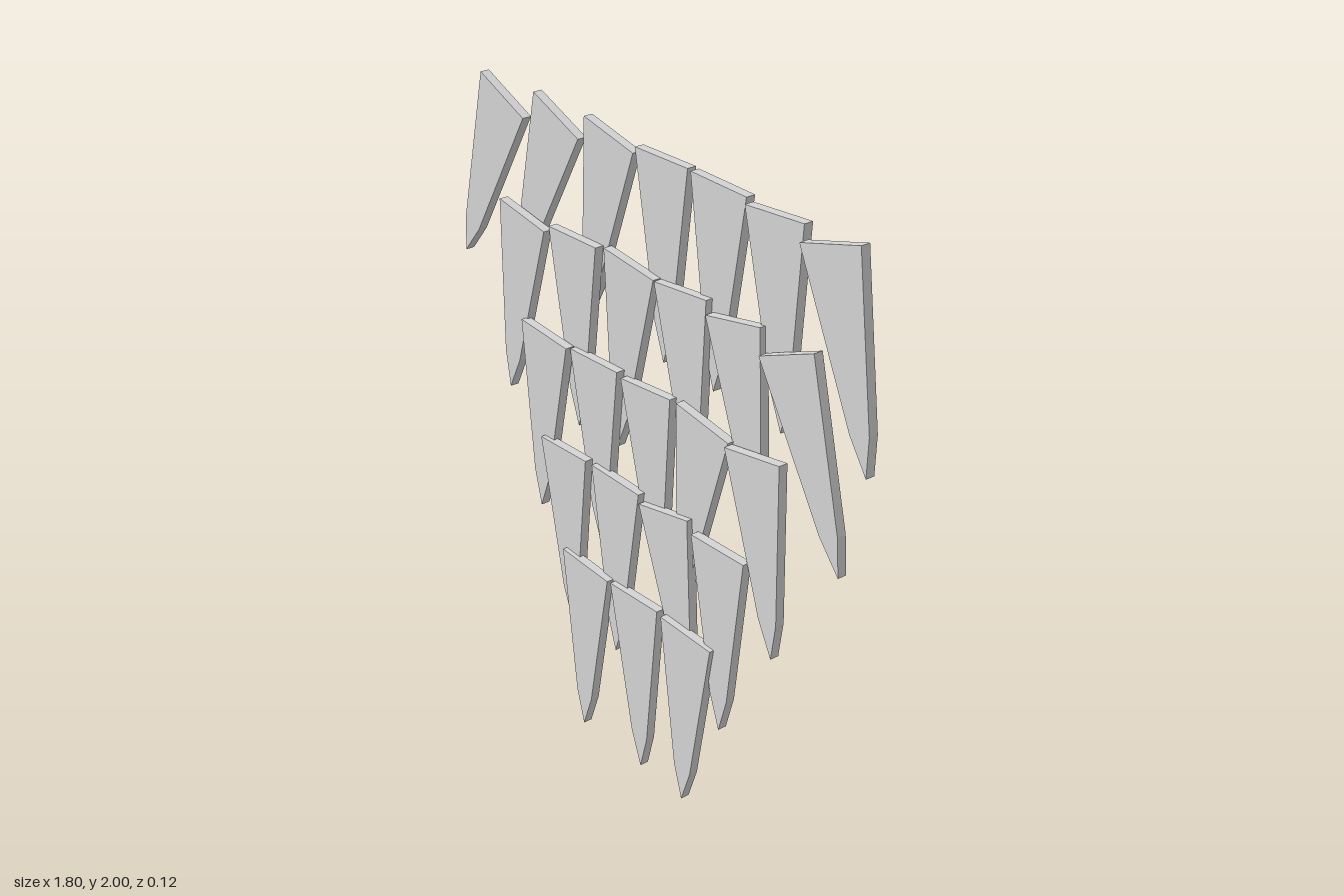
import * as THREE from 'three';

const THICKNESS = 0.029;

// Each blade: [top centre x, top centre y, tip x, tip y], rows listed top to bottom
const ROWS = [
  [[-0.674, 1.96, -0.899, 1.405], [-0.436, 1.96, -0.652, 1.4], [-0.206, 1.967, -0.322, 1.38],
    [0.022, 1.967, 0.037, 1.37], [0.265, 1.968, 0.26, 1.37], [0.498, 1.963, 0.551, 1.37], [0.725, 1.963, 0.895, 1.388]],
  [[-0.571, 1.624, -0.658, 1.037], [-0.344, 1.626, -0.325, 1.032], [-0.09, 1.627, -0.145, 1.032],
    [0.138, 1.627, 0.201, 1.035], [0.368, 1.624, 0.488, 1.042], [0.598, 1.62, 0.828, 1.069]],
  [[-0.452, 1.288, -0.486, 0.69], [-0.222, 1.286, -0.195, 0.692], [0.016, 1.288, 0.074, 0.693],
    [0.273, 1.288, 0.191, 0.693], [0.495, 1.284, 0.598, 0.698]],
  [[-0.344, 0.95, -0.314, 0.354], [-0.098, 0.95, -0.1, 0.354], [0.127, 0.944, 0.249, 0.358],
    [0.379, 0.944, 0.402, 0.354]],
  [[-0.222, 0.603, -0.24, 0.008], [0.014, 0.605, 0.048, 0.008], [0.262, 0.606, 0.254, 0.008]],
];
const ROW_DEPTH = [-0.05, -0.025, 0, 0.022, 0.042];

// Flat tapered blade hanging down from the middle of its top edge
function bladeGeometry() {
  const shape = new THREE.Shape([
    [-0.113, 0], [-0.037, -0.49], [0, -0.604], [0.037, -0.49], [0.113, 0],
  ].map(([x, y]) => new THREE.Vector2(x, y)));
  const geometry = new THREE.ExtrudeGeometry(shape, { depth: THICKNESS, bevelEnabled: false });
  return geometry.translate(0, 0, -THICKNESS / 2);
}

export function createModel() {
  const model = new THREE.Group();
  model.name = 'hangingBlades';
  const lightGrey = new THREE.MeshStandardMaterial({ color: 0xd4d4d4 });
  lightGrey.name = 'lightGrey';
  const geometry = bladeGeometry();

  ROWS.forEach((blades, r) => {
    const row = new THREE.Group();
    row.name = `bladeRow${r + 1}`;
    blades.forEach(([x, y, tipX, tipY], i) => {
      const blade = new THREE.Mesh(geometry, lightGrey);
      blade.name = `blade${i + 1}`;
      // Each row bows backwards in the middle
      const offset = i - (blades.length - 1) / 2;
      blade.position.set(x, y, ROW_DEPTH[r] + 0.004 * offset * offset);
      blade.rotation.z = Math.atan2(tipX - x, y - tipY);
      row.add(blade);
    });
    model.add(row);
  });
  return model;
}
